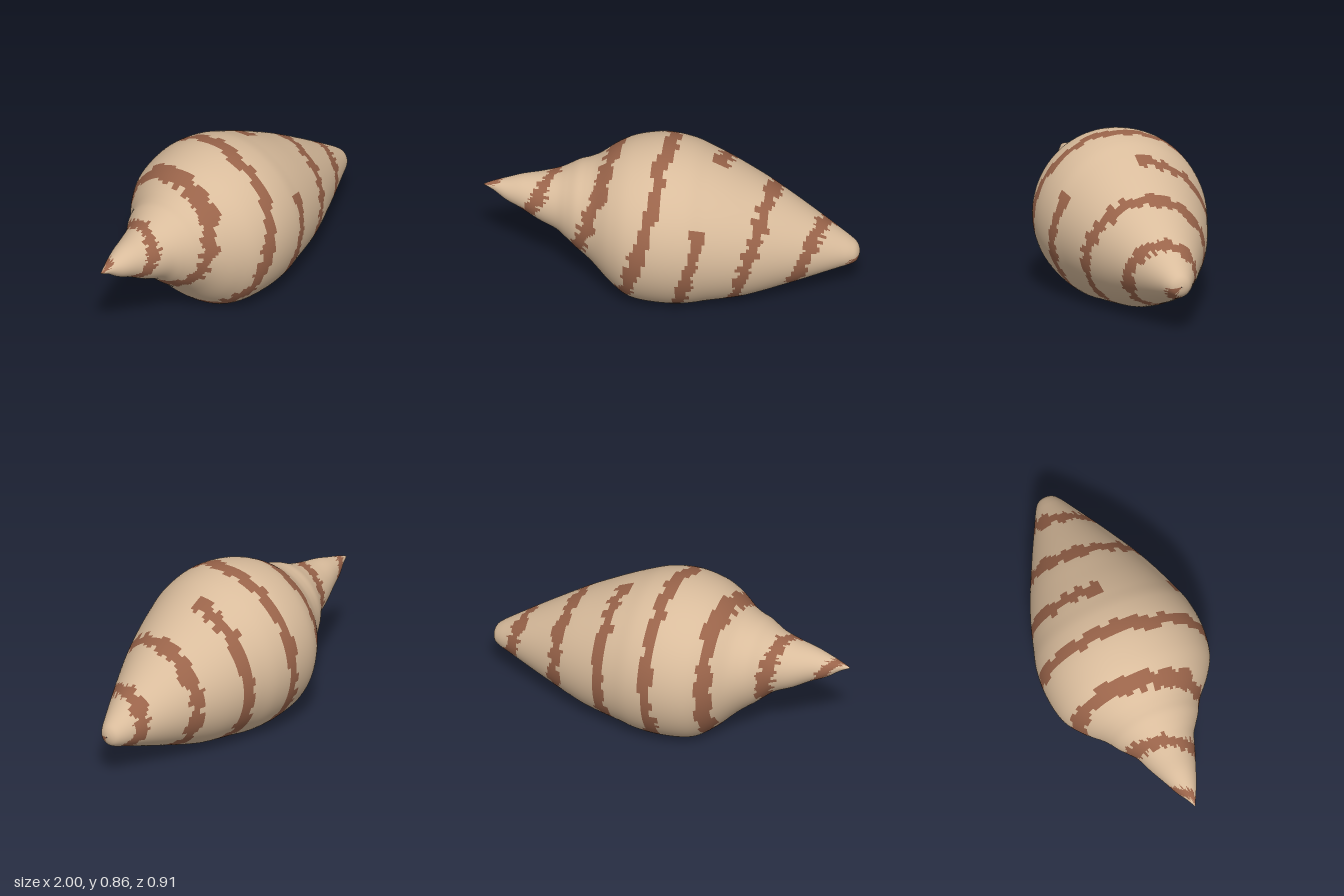
import * as THREE from 'three';

// Shell outline: [x, upper edge y, lower edge y] (below zero is cut flat)
const OUTLINE = [
  [-1, 0.54, 0.535], [-0.95, 0.56, 0.51], [-0.88, 0.58, 0.46], [-0.8, 0.603, 0.42], [-0.7, 0.62, 0.36],
  [-0.6, 0.646, 0.312], [-0.55, 0.668, 0.27], [-0.5, 0.692, 0.225], [-0.45, 0.705, 0.185],
  [-0.4, 0.724, 0.14], [-0.3, 0.79, 0.04], [-0.2, 0.832, -0.03], [-0.05, 0.855, -0.053],
  [0.1, 0.832, -0.05], [0.2, 0.792, -0.032], [0.3, 0.745, -0.016], [0.4, 0.692, 0.002],
  [0.5, 0.637, 0.032], [0.6, 0.575, 0.066], [0.7, 0.51, 0.1], [0.8, 0.443, 0.136], [0.9, 0.374, 0.172],
  [0.95, 0.338, 0.189], [0.98, 0.312, 0.206], [0.993, 0.29, 0.227], [1, 0.262, 0.258],
];
const RINGS = 175, SIDES = 108, FLOOR = 0.003;
const PITCH = 0.29, FIRST = -0.08, HALF_BAND = 0.036;

// Repeatable jitter between -1 and 1
function jitter(n) {
  const s = Math.sin(n * 127.1 + 11.7) * 43758.5453;
  return (s - Math.floor(s)) * 2 - 1;
}

// True where the ragged spiral band crosses the shell; turn runs 0..1 from top towards front
function inBand(x, dy, turn, j) {
  const u = x - 0.135 * dy + PITCH * turn;
  const k = Math.round((u - FIRST) / PITCH);
  if (k === 1 && turn < 0.165) return false; // break in the band
  if (k === 4 && turn < 0.28) return false;  // band runs out at the blunt tip
  const d = u - (FIRST + k * PITCH);
  const block = Math.floor(j / 2) + k * 61;
  return d < HALF_BAND + 0.018 * jitter(block) && d > -HALF_BAND + 0.018 * jitter(block + 500);
}

function shellGeometry() {
  const curve = new THREE.CatmullRomCurve3(OUTLINE.map((p) => new THREE.Vector3(...p)));
  const rings = curve.getPoints(RINGS);
  const positions = [];
  const plain = [], banded = [];
  for (const p of rings) {
    const cy = (p.y + p.z) / 2, r = (p.y - p.z) / 2;
    for (let j = 0; j < SIDES; j++) {
      const a = (j / SIDES) * Math.PI * 2;
      positions.push(p.x, Math.max(cy + r * Math.cos(a), FLOOR), r * Math.sin(a));
    }
  }
  for (let i = 0; i < RINGS; i++) {
    const p = rings[i], q = rings[i + 1];
    const radius = (p.y - p.z + q.y - q.z) / 4, cy = (p.y + p.z + q.y + q.z) / 4;
    for (let j = 0; j < SIDES; j++) {
      const turn = (j + 0.5) / SIDES;
      const dy = radius * Math.cos(turn * Math.PI * 2);
      const a = i * SIDES + j, b = i * SIDES + ((j + 1) % SIDES);
      const flat = cy + dy < FLOOR;
      const target = !flat && inBand((p.x + q.x) / 2, dy, turn, j) ? banded : plain;
      target.push(a, b, b + SIDES, a, b + SIDES, a + SIDES);
    }
  }
  const g = new THREE.BufferGeometry();
  g.setAttribute('position', new THREE.Float32BufferAttribute(positions, 3));
  g.setIndex([...plain, ...banded]);
  g.addGroup(0, plain.length, 0);
  g.addGroup(plain.length, banded.length, 1);
  g.computeVertexNormals();
  return g;
}

export function createModel() {
  const sand = new THREE.MeshStandardMaterial({ color: 0xd9bc9c });
  sand.name = 'sand';
  const brown = new THREE.MeshStandardMaterial({ color: 0x9a644a });
  brown.name = 'brown';

  const model = new THREE.Group();
  model.name = 'spiralShell';

  const shell = new THREE.Mesh(shellGeometry(), [sand, brown]);
  shell.name = 'shellBody';
  model.add(shell);

  // Wedge of band colour on the flat underside
  const wedge = new THREE.Shape([
    new THREE.Vector2(0.2, -0.16), new THREE.Vector2(0.12, 0.19), new THREE.Vector2(-0.04, 0.2),
  ]);
  const patch = new THREE.Mesh(new THREE.ShapeGeometry(wedge).rotateX(Math.PI / 2), brown);
  patch.name = 'undersidePatch';
  model.add(patch);

  return model;
}
